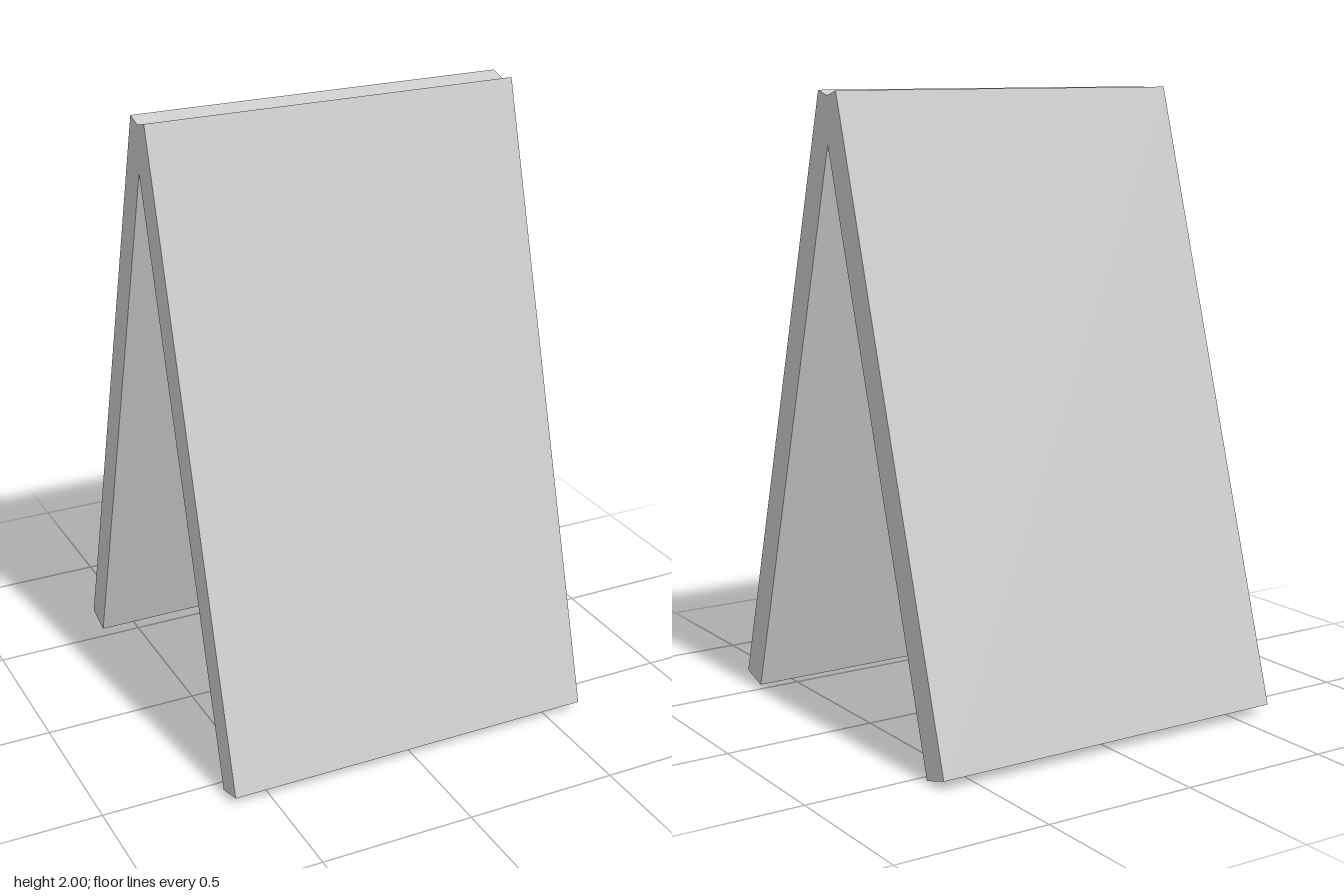
import * as THREE from 'three';

const WIDTH = 1.234;
const THICKNESS = 0.098;

// Flat board leaning along its outer face; points are [z, y], side is +1 front, -1 back
function leaningBoard(name, side, bottom, top, material) {
  const dz = top[0] - bottom[0];
  const dy = top[1] - bottom[1];
  const length = Math.hypot(dz, dy);
  const board = new THREE.Mesh(new THREE.BoxGeometry(WIDTH, length, THICKNESS), material);
  board.name = name;
  board.rotation.x = Math.atan2(dz, dy);
  // Step half a thickness inward from the middle of the outer face
  const inward = (side * THICKNESS) / 2 / length;
  board.position.set(
    0,
    (bottom[1] + top[1]) / 2 + inward * dz,
    (bottom[0] + top[0]) / 2 - inward * dy
  );
  return board;
}

export function createModel() {
  const model = new THREE.Group();
  model.name = 'foldingSignBoard';
  const grey = new THREE.MeshStandardMaterial({ color: 0xcccccc });

  // Two boards that cross at the top, leaving a shallow groove along the ridge
  model.add(leaningBoard('frontBoard', 1, [0.634, 0.028], [0.063, 2], grey));
  model.add(leaningBoard('backBoard', -1, [-0.635, 0.033], [-0.046, 2], grey));
  return model;
}
